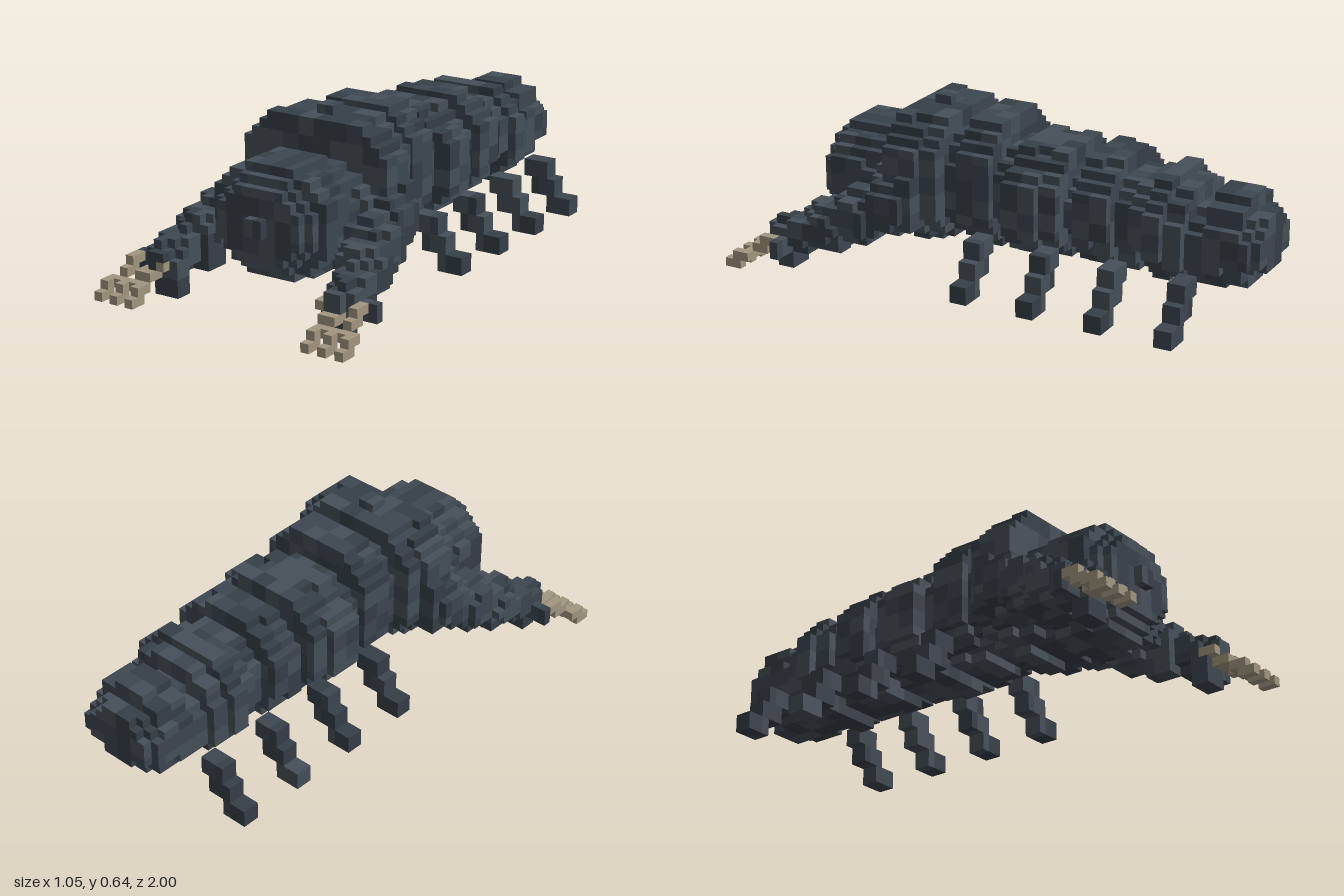
import * as THREE from 'three';
import { mergeGeometries } from 'three/addons/utils/BufferGeometryUtils.js';

// Voxel grid: 31 wide, 19 high, 59 long
const NX = 31, NZ = 59, S = 2 / NZ;
const MID = 16; // body centre line, in cells

// Body rings from tail to head: [start, end, half width, bottom, top]
const RINGS = [
  [0, 1, 4, 6, 12], [1, 2, 5, 6, 12], [2, 6, 5, 4, 14], [6, 8, 5, 4, 12],
  [8, 10, 6, 4, 14], [10, 12, 7, 4, 15], [12, 14, 6, 6, 14], [14, 16, 5, 4, 14],
  [16, 20, 7, 4, 16], [20, 22, 5, 6, 13], [22, 24, 7, 4, 16], [24, 28, 8, 4, 16],
  [28, 30, 6, 6, 15], [30, 34, 7, 4, 18], [34, 36, 6, 5, 16], [36, 38, 8, 4, 18],
  [38, 42, 9, 4, 18], [42, 44, 8, 4, 14], [44, 50, 7, 3, 15], [50, 51, 6, 4, 14], [51, 52, 5, 5, 13],
];

// Arm as tapering balls: [offset from centre line, height, length, radius]
const ARM = [[8, 8.4, 41, 3.2], [9.2, 6.6, 45, 3.1], [10.2, 5.4, 48, 2.8], [11, 4.4, 51, 2.2], [11.2, 3.8, 53, 1.9]];

// Claw finger steps: [sideways shift, height, length]
const FINGER = [[1, 2, 54], [1, 2, 55], [1, 1, 56], [0, 1, 56], [0, 1, 57], [0, 0, 57], [0, 0, 58]];

const COLORS = { slate: 0x3d4650, slateLight: 0x464f58, slateDark: 0x363e47, claw: 0xa1967f };

// The six face directions of a cell
const FACES = [
  [1, 0, 0], [-1, 0, 0], [0, 1, 0], [0, -1, 0], [0, 0, 1], [0, 0, -1],
].map((d) => {
  const g = new THREE.PlaneGeometry(1, 1).translate(0, 0, 0.5);
  if (d[0]) g.rotateY(d[0] * Math.PI / 2);
  if (d[1]) g.rotateX(-d[1] * Math.PI / 2);
  if (d[2] < 0) g.rotateY(Math.PI);
  return { d, g };
});

// Cell sets keep their part name and coordinates
const key = (i, j, k) => `${i},${j},${k}`;
function put(grid, part, i, j, k) {
  grid.set(key(i, j, k), { part, i, j, k });
}
function fillBox(grid, part, i0, i1, j0, j1, k0, k1) {
  for (let i = i0; i < i1; i++)
    for (let j = j0; j < j1; j++)
      for (let k = k0; k < k1; k++) put(grid, part, i, j, k);
}

// Repeatable noise from 0 to 1, constant over blocks of two cells
function noise(i, j, k) {
  const n = Math.sin((i >> 1) * 12.9 + (j >> 1) * 78.2 + (k >> 1) * 37.7) * 43758.5;
  return n - Math.floor(n);
}
function shade({ part, i, j, k }) {
  if (part.endsWith('Claw')) return 'claw';
  return ['slate', 'slateLight', 'slateDark'][Math.floor(noise(i, j, k) * 3)];
}

export function createModel() {
  const grid = new Map();

  // Segmented body with rounded, slightly rugged cross-sections; the thorax is squarer
  for (const [k0, k1, w, bottom, top] of RINGS) {
    const cy = (bottom + top) / 2, ry = (top - bottom) / 2;
    const part = k0 < 30 ? 'abdomen' : k0 < 42 ? 'thorax' : 'head';
    const power = part === 'thorax' ? 2.5 : 2;
    for (let k = k0; k < k1; k++)
      for (let j = bottom; j < top; j++)
        for (let i = MID - w; i < MID + w; i++) {
          const a = Math.abs(i + 0.5 - MID);
          const u = a / w, v = Math.abs(j + 0.5 - cy) / ry;
          const limit = 0.97 + 0.18 * noise(Math.floor(a), j, k);
          if (u ** power + v ** power < limit) put(grid, part, i, j, k);
        }
  }
  // Snout, back crest and chest ridge
  fillBox(grid, 'head', MID - 1, MID + 1, 8, 10, 52, 53);
  fillBox(grid, 'thorax', MID - 1, MID + 1, 17, 19, 38, 40);
  fillBox(grid, 'thorax', MID - 3, MID + 3, 3, 5, 38, 40);

  for (const side of [1, -1]) {
    const name = side > 0 ? 'left' : 'right';
    // Body parts mirror about the cell edge MID
    const box = (part, a, b, ...rest) => side > 0
      ? fillBox(grid, part, MID + a, MID + b, ...rest)
      : fillBox(grid, part, MID - b, MID - a, ...rest);

    // Shoulder plate
    box('thorax', 8, 10, 6, 12, 38, 40);

    // Four stepped legs: thigh, shin and foot
    for (const k of [6, 14, 22, 30]) {
      box(name + 'Legs', 6, 9, 4, 6, k, k + 2);
      box(name + 'Legs', 7, 10, 2, 4, k, k + 2);
      box(name + 'Legs', 9, 12, 0, 2, k, k + 2);
    }

    // Digging arm
    for (const [o, y, z, r] of ARM)
      for (let a = 5; a < 14; a++)
        for (let j = 0; j < 14; j++)
          for (let k = 36; k < 55; k++)
            if (Math.hypot(a + 0.5 - o, j + 0.5 - y, k + 0.5 - z) < r && !grid.has(key(side > 0 ? MID + a : MID - a - 1, j, k)))
              box(name + 'Arm', a, a + 1, j, j + 1, k, k + 1);
    // Elbow, wrist and broad hand
    box(name + 'Arm', 8, 10, 2, 4, 47, 50);
    box(name + 'Arm', 9, 12, 0, 4, 52, 54);
    box(name + 'Arm', 11, 15, 2, 4, 52, 53);

    // Three claws and two knuckles on each hand
    const claw = (i, j, k) => put(grid, name + 'Claw', side > 0 ? NX - 1 - i : i, j, k);
    for (const f of [0, 2, 4])
      for (const [shift, j, k] of FINGER) claw(f + (f === 4 ? 0 : shift), j, k);
    for (const i of [1, 5]) {
      claw(i, 3, 53);
      claw(i, 3, 54);
    }
  }

  // Gather outer faces by part and shade
  const buckets = new Map();
  for (const cell of grid.values()) {
    const { i, j, k, part } = cell;
    const tone = shade(cell);
    const id = part + '/' + tone;
    for (const { d, g } of FACES) {
      if (grid.has(key(i + d[0], j + d[1], k + d[2]))) continue;
      if (!buckets.has(id)) buckets.set(id, { part, tone, list: [] });
      buckets.get(id).list.push(g.clone().translate(i + 0.5 - NX / 2, j + 0.5, k + 0.5 - NZ / 2));
    }
  }

  const model = new THREE.Group();
  model.name = 'burrowingInsect';
  const materials = {};
  for (const tone in COLORS) materials[tone] = new THREE.MeshStandardMaterial({ color: COLORS[tone] });
  const parts = {};
  for (const { part, tone, list } of buckets.values()) {
    if (!parts[part]) {
      parts[part] = new THREE.Group();
      parts[part].name = part;
      model.add(parts[part]);
    }
    const mesh = new THREE.Mesh(mergeGeometries(list).scale(S, S, S), materials[tone]);
    mesh.name = part + ' ' + tone;
    parts[part].add(mesh);
  }
  return model;
}
